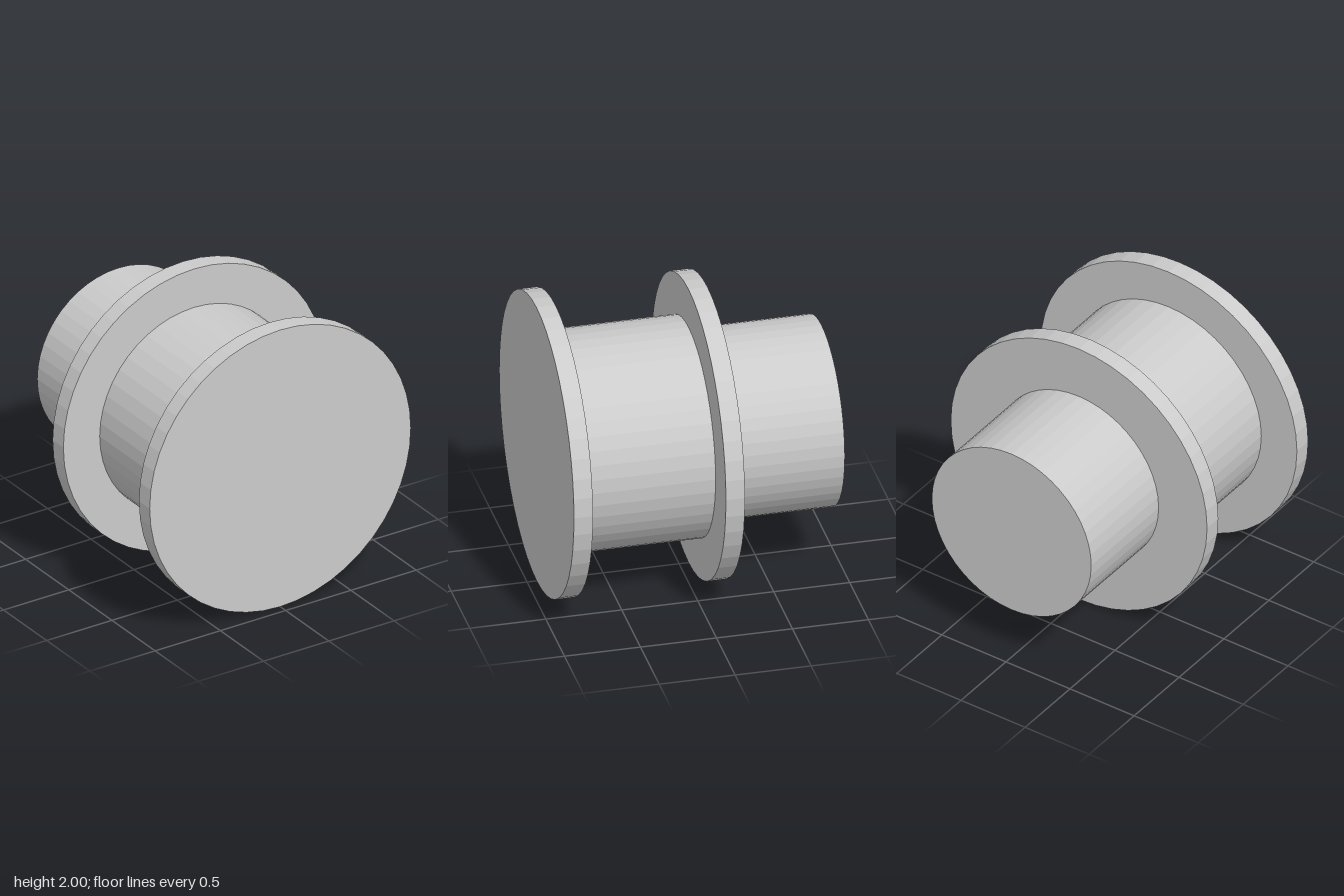
import * as THREE from 'three';

export function createModel() {
  const group = new THREE.Group();
  group.name = 'flangedSpool';
  const material = new THREE.MeshStandardMaterial({ color: 0xcccccc, flatShading: true });
  const sides = 48;

  // Faceted disc or drum lying along z, between its back and front planes
  const addDrum = (name, radius, zBack, zFront) => {
    const geometry = new THREE.CylinderGeometry(radius, radius, zFront - zBack, sides);
    geometry.rotateX(Math.PI / 2);
    const mesh = new THREE.Mesh(geometry, material);
    mesh.name = name;
    mesh.position.set(0, 1, (zBack + zFront) / 2);
    group.add(mesh);
  };

  addDrum('frontFlange', 1, 0.8125, 0.9375);
  addDrum('middleDrum', 0.722, -0.0625, 0.8125);
  addDrum('rearFlange', 1, -0.1875, -0.0625);
  addDrum('rearShaft', 0.622, -0.9375, -0.1875);

  return group;
}
